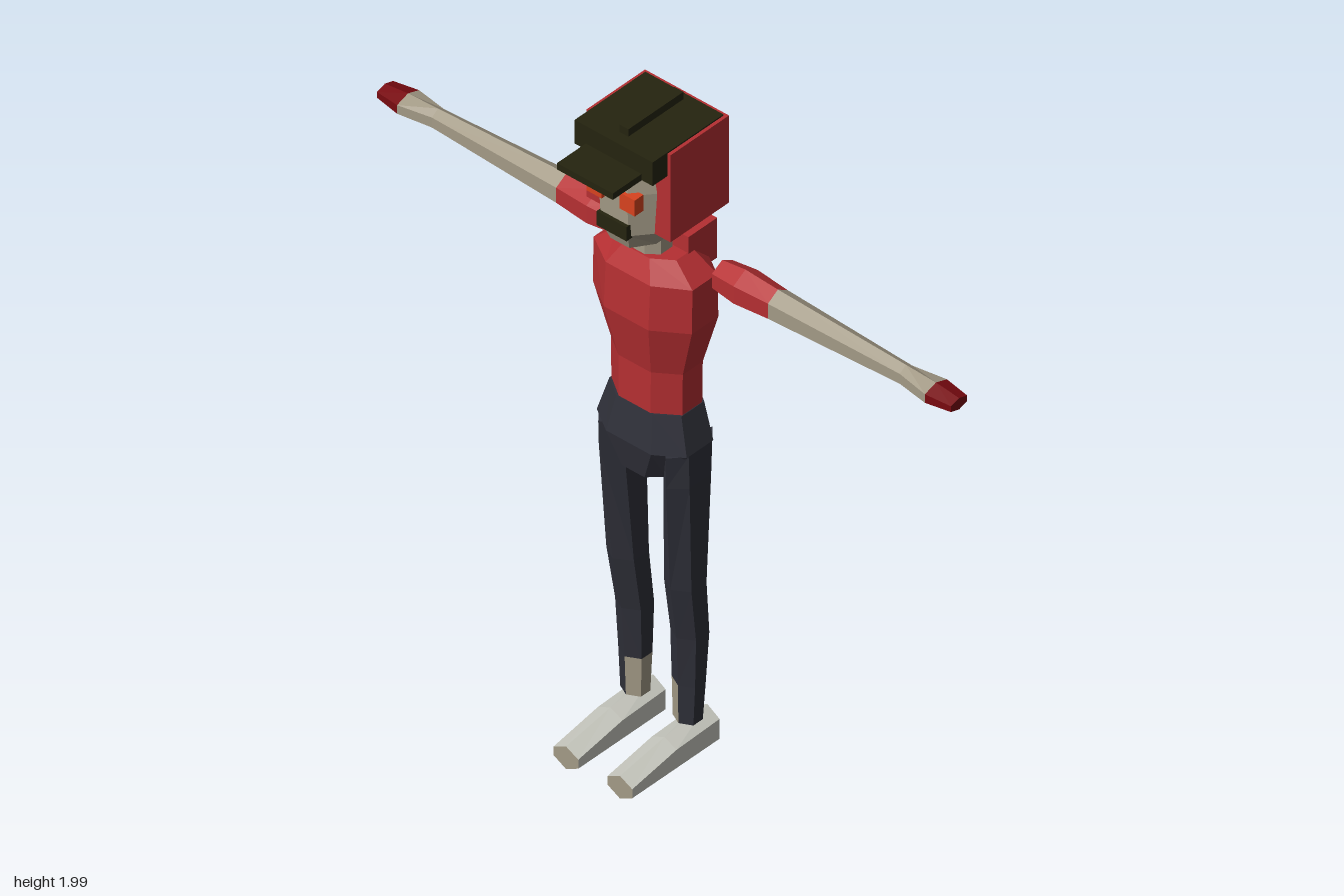
import * as THREE from 'three';

const mat = (name, color) => {
  const m = new THREE.MeshStandardMaterial({ color, flatShading: true });
  m.name = name;
  return m;
};

// Joins rings of points into a closed faceted solid.
// pick(ringIndex, sideIndex) chooses a material; ringIndex -1 means an end cap.
function loft(name, rings, materials, pick = () => 0) {
  const n = rings[0].length;
  const tris = [];
  const add = (a, b, c, m) => tris.push({ p: [a, b, c], m });
  for (let i = 0; i < rings.length - 1; i++) {
    for (let j = 0; j < n; j++) {
      const k = (j + 1) % n, m = pick(i, j);
      add(rings[i][j], rings[i][k], rings[i + 1][k], m);
      add(rings[i][j], rings[i + 1][k], rings[i + 1][j], m);
    }
  }
  const first = rings[0], last = rings[rings.length - 1];
  for (let j = 1; j < n - 1; j++) {
    add(first[0], first[j + 1], first[j], pick(-1, j));
    add(last[0], last[j], last[j + 1], pick(-1, j));
  }
  // Turn all faces outward, whichever way the rings run
  const volume = tris.reduce((v, { p }) => v + p[0].dot(p[1].clone().cross(p[2])), 0);
  tris.sort((a, b) => a.m - b.m);
  const geo = new THREE.BufferGeometry();
  geo.setFromPoints(tris.flatMap(({ p }) => (volume < 0 ? [p[0], p[2], p[1]] : p)));
  materials.forEach((_, m) => {
    const start = tris.findIndex((t) => t.m === m);
    if (start >= 0) geo.addGroup(start * 3, tris.filter((t) => t.m === m).length * 3, m);
  });
  geo.computeVertexNormals();
  const mesh = new THREE.Mesh(geo, materials);
  mesh.name = name;
  return mesh;
}

const V = (x, y, z) => new THREE.Vector3(x, y, z);

// Eight-sided level ring: height, half width, back z, front z
function octagon([y, w, z0, z1], cut = 0.45) {
  const c = (z0 + z1) / 2, d = (z1 - z0) / 2;
  return [[1, cut], [cut, 1], [-cut, 1], [-1, cut], [-1, -cut], [-cut, -1], [cut, -1], [1, -cut]]
    .map(([a, b]) => V(a * w, y, c + b * d));
}

// Six directions; the first corner points along the second axis
const HEX = [[0, 1], [1, 0.5], [1, -0.5], [0, -1], [-1, -0.5], [-1, 0.5]];

export function createModel() {
  const red = mat('red cloth', 0xb52f32);
  const trousers = mat('dark trousers', 0x2f3039);
  const skin = mat('grey tan skin', 0xa39a86);
  const black = mat('dark olive', 0x25240f);
  const shoe = mat('pale shoe', 0xc6c7be);
  const glove = mat('dark red glove', 0x780a10);
  const orange = mat('orange eye', 0xd8431f);

  const model = new THREE.Group();
  model.name = 'figure';

  // Box from its lower and upper limits
  const box = (name, m, [x0, x1], [y0, y1], [z0, z1]) => {
    const mesh = new THREE.Mesh(new THREE.BoxGeometry(x1 - x0, y1 - y0, z1 - z0), m);
    mesh.position.set((x0 + x1) / 2, (y0 + y1) / 2, (z0 + z1) / 2);
    mesh.name = name;
    model.add(mesh);
  };

  // Torso, pelvis, neck and head
  model.add(loft('torso', [
    [1.1, 0.118, -0.16, 0.005], [1.235, 0.12, -0.16, 0.005], [1.395, 0.165, -0.183, 0.037],
    [1.53, 0.165, -0.175, 0.03], [1.585, 0.1, -0.14, 0],
  ].map((r) => octagon(r)), [red]));
  model.add(loft('pelvis', [
    [0.9, 0.075, -0.14, 0.01], [1.0, 0.15, -0.17, 0.028], [1.107, 0.12, -0.162, 0.007],
  ].map((r) => octagon(r, 0.5)), [trousers]));
  model.add(loft('neck', [
    [1.57, 0.055, -0.1, -0.005], [1.67, 0.055, -0.1, -0.005],
  ].map((r) => octagon(r)), [skin]));
  model.add(loft('head', [
    [1.645, 0.07, -0.15, 0.06], [1.7, 0.1, -0.165, 0.08],
    [1.83, 0.107, -0.17, 0.085], [1.92, 0.09, -0.16, 0.075],
  ].map((r) => octagon(r)), [skin]));

  // Hair, nape roll and face
  box('hair', red, [-0.14, 0.14], [1.7, 1.973], [-0.19, 0.028]);
  box('napeRoll', red, [-0.103, 0.103], [1.51, 1.635], [-0.187, -0.08]);
  box('moustache', black, [-0.05, 0.05], [1.693, 1.737], [0.06, 0.091]);
  for (const s of [-1, 1]) {
    box('eye', orange, [s * 0.055 - 0.025, s * 0.055 + 0.025], [1.788, 1.838], [0.062, 0.094]);
  }

  // Cap
  box('capCrown', black, [-0.13, 0.13], [1.903, 1.977], [-0.18, 0.083]);
  box('capBrim', black, [-0.093, 0.093], [1.902, 1.922], [0.07, 0.19]);
  box('capRidge', black, [-0.015, 0.015], [1.97, 2.0], [-0.16, 0.045]);

  for (const s of [-1, 1]) {
    // Arm: x, half height, half depth
    const ring = ([x, h, d]) => HEX.map(([a, b]) => V(s * x, 1.522 + b * h, -0.134 + a * d));
    const sleeveEnd = [0.353, 0.047, 0.037], wrist = [0.88, 0.027, 0.041];
    const side = s > 0 ? 'left' : 'right';
    model.add(loft(side + 'Sleeve',
      [[0.167, 0.044, 0.038], [0.245, 0.054, 0.045], sleeveEnd].map(ring), [red]));
    model.add(loft(side + 'Forearm',
      [sleeveEnd, [0.78, 0.031, 0.023], wrist].map(ring), [skin]));
    model.add(loft(side + 'Hand', [wrist, [0.957, 0.018, 0.03]].map(ring), [glove]));

    // Leg: y, inner x, outer x, back z, front z; bare skin on the inner ankle
    model.add(loft(side + 'Leg', [
      [0.115, 0.053, 0.122, -0.13, -0.06], [0.235, 0.05, 0.128, -0.137, -0.057],
      [0.39, 0.049, 0.135, -0.147, -0.048], [0.56, 0.05, 0.142, -0.132, -0.02],
      [0.9, 0.065, 0.152, -0.15, 0.01], [1.0, 0.075, 0.15, -0.16, 0.015],
    ].map(([y, x0, x1, z0, z1]) => HEX.map(([a, b]) => V(
      s * ((x0 + x1) / 2 + a * (x1 - x0) / 2), y, (z0 + z1) / 2 + b * (z1 - z0) / 2))),
    [trousers, skin], (i, j) => (i === 0 && j >= 3 ? 1 : 0)));

    // Foot: z, top ridge y, upper side y; tan heel and toe ends
    model.add(loft(side + 'Foot', [
      [-0.165, 0.116, 0.09], [-0.005, 0.104, 0.085], [0.16, 0.077, 0.056],
    ].map(([z, top, shoulder]) => {
      const heights = [top, shoulder, 0.028, 0.006, 0.028, shoulder];
      return HEX.map(([a], i) => V(s * 0.09 + a * 0.041, heights[i], z));
    }), [shoe, skin], (i) => (i < 0 ? 1 : 0)));
  }
  return model;
}
